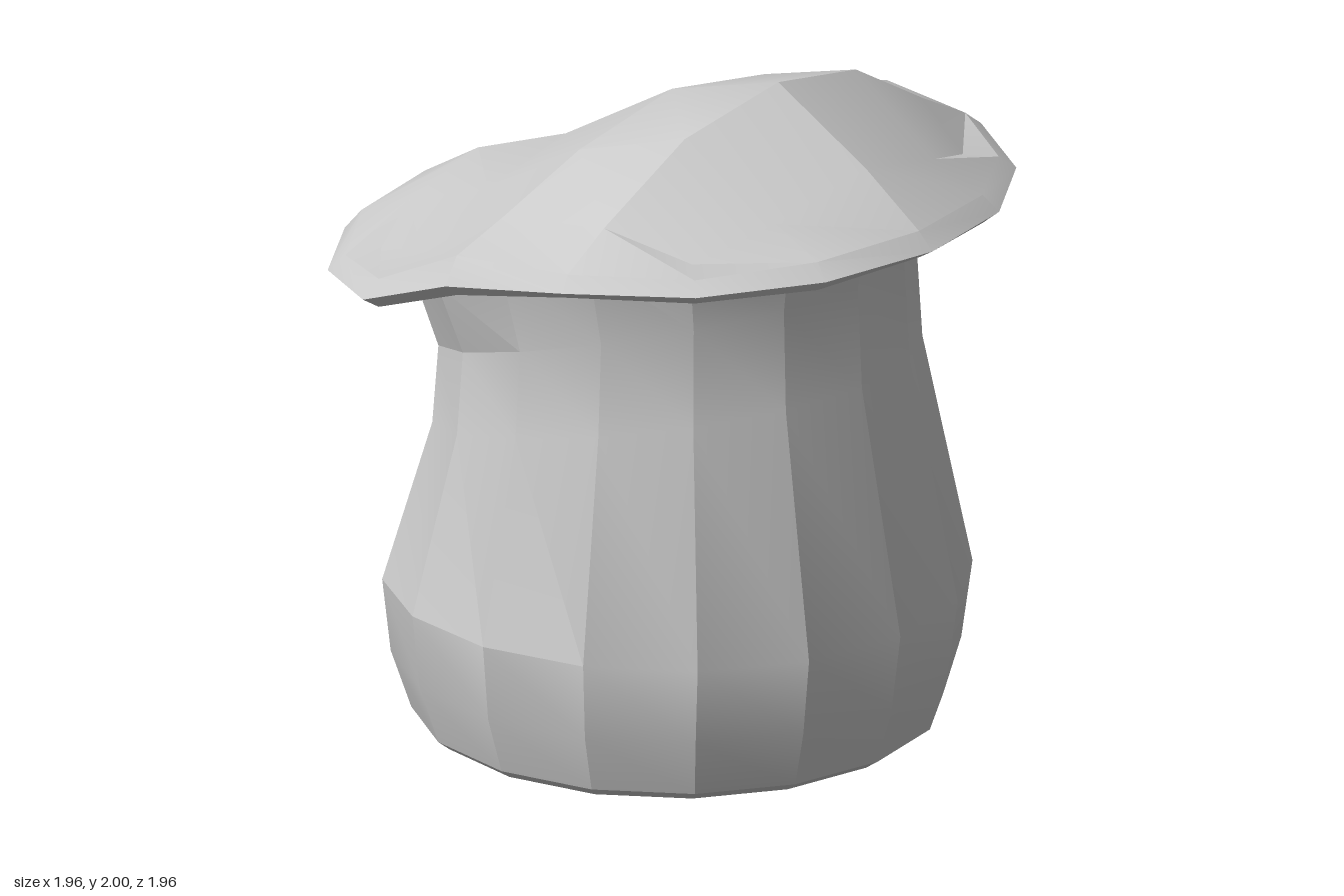
import * as THREE from 'three';
import { toCreasedNormals } from 'three/addons/utils/BufferGeometryUtils.js';

const N = 16;

// Ring of 16 points; heightAt(k, c) takes the index mirrored across z and cos of the angle
function ring(radius, heightAt, cx = 0, rz = radius) {
  return Array.from({ length: N }, (_, k) => {
    const a = (k / N) * Math.PI * 2, c = Math.cos(a);
    return [cx + radius * c, heightAt(k <= 8 ? k : N - k, c), rz * Math.sin(a)];
  });
}

// Ring whose height leans from the low left side to the high right side
const lean = (rx, rz, cx, yNeg, yMid, yPos) =>
  ring(rx, (k, c) => yMid + c * (yPos - yNeg) / 2 + c * c * ((yPos + yNeg) / 2 - yMid), cx, rz);

const quad = (out, a, b, c, d) => out.push(...a, ...b, ...c, ...a, ...c, ...d);

// Joins successive rings with quads
function loft(out, rings) {
  for (let r = 0; r + 1 < rings.length; r++) {
    const lo = rings[r], hi = rings[r + 1];
    for (let k = 0; k < N; k++) {
      const n = (k + 1) % N;
      quad(out, lo[k], hi[k], hi[n], lo[n]);
    }
  }
}

function makeMesh(name, positions) {
  const geo = new THREE.BufferGeometry();
  geo.setAttribute('position', new THREE.Float32BufferAttribute(positions, 3));
  const mesh = new THREE.Mesh(
    toCreasedNormals(geo, 0.35),
    new THREE.MeshStandardMaterial({ color: 0xcccccc, side: THREE.DoubleSide })
  );
  mesh.name = name;
  return mesh;
}

// Rim heights from the +x side (first) round to the -x side (last)
const lipLow = [1.6, 1.585, 1.58, 1.58, 1.52, 1.375, 1.325, 1.31, 1.305];
const lipOuter = [1.63, 1.625, 1.615, 1.61, 1.56, 1.405, 1.355, 1.34, 1.335];
const lipTop = [1.68, 1.67, 1.65, 1.65, 1.64, 1.46, 1.4, 1.4, 1.4];

// Where the stem flares out to meet the underside of the cap
const joint = ring(0.745, (k) => lipLow[k] + 0.035);

function makeStem() {
  const out = [];
  const base = lean(0.715, 0.72, 0.015, 0, 0, 0);
  loft(out, [
    base,
    lean(0.755, 0.76, 0.02, 0.03, 0.03, 0.03),
    lean(0.812, 0.812, 0.015, 0.2, 0.2, 0.2),
    lean(0.84, 0.84, 0.02, 0.41, 0.43, 0.43),
    lean(0.695, 0.7, 0.02, 0.83, 1.02, 1.15),
    lean(0.68, 0.68, 0.02, 1.05, 1.28, 1.45),
    joint,
  ]);
  for (let k = 0; k < N; k++) out.push(0, 0, 0, ...base[k], ...base[(k + 1) % N]);
  return makeMesh('stem', out);
}

function makeCap() {
  // Crown: a 4 x 4 grid of quads rounded towards a disc
  const spread = [[0, 0.4, 0.73], [0, 0.37, 0.69], [0, 0.345, 0.585]];
  const height = [
    [1.52, 1.645, 1.88, 2.0, 1.82],
    [1.47, 1.59, 1.81, 1.925, 1.74],
    [1.42, 1.5, 1.7, 1.74, 1.66],
  ];
  const point = (i, j) => {
    const ai = Math.abs(i), aj = Math.abs(j);
    return [Math.sign(i) * spread[aj][ai], height[aj][i + 2], Math.sign(j) * spread[ai][aj]];
  };
  const out = [];
  for (let i = -2; i < 2; i++)
    for (let j = -2; j < 2; j++)
      quad(out, point(i, j), point(i, j + 1), point(i + 1, j + 1), point(i + 1, j));

  // Border of the crown, walked in the same order as the rings
  const step = (v) => Math.round(2 * Math.max(-1, Math.min(1, v * Math.SQRT2)));
  const border = Array.from({ length: N }, (_, k) => {
    const a = (k / N) * Math.PI * 2;
    return point(step(Math.cos(a)), step(Math.sin(a)));
  });

  // Underside, lip and the slope up to the crown
  loft(out, [
    joint,
    ring(0.93, (k) => lipLow[k]),
    ring(0.98, (k) => lipOuter[k]),
    ring(0.93, (k) => lipTop[k]),
    border,
  ]);
  return makeMesh('cap', out);
}

export function createModel() {
  const group = new THREE.Group();
  group.name = 'mushroom';
  group.add(makeStem(), makeCap());
  return group;
}
